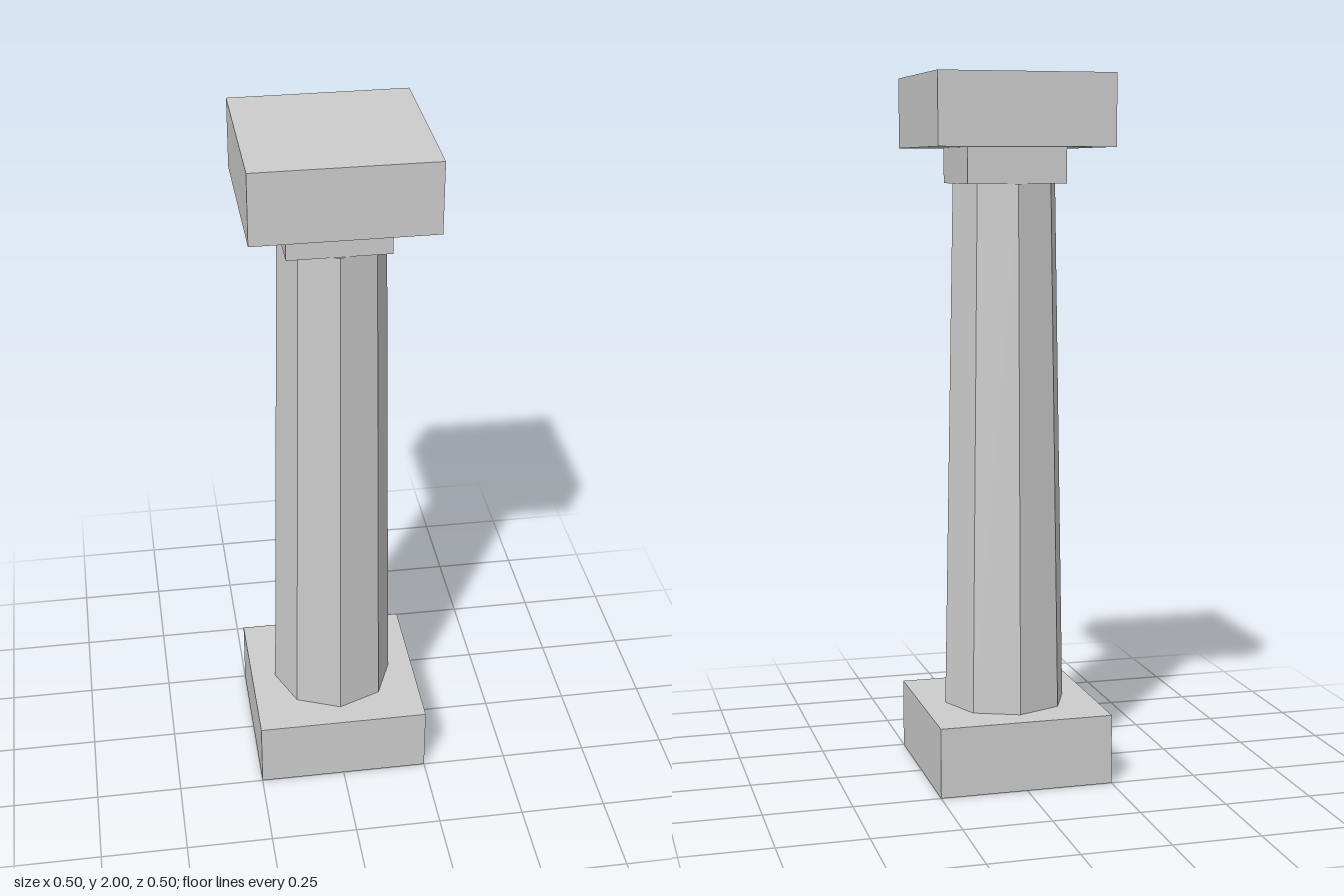
import * as THREE from 'three';

export function createModel() {
  const group = new THREE.Group();
  const stone = new THREE.MeshStandardMaterial({ color: 0xcccccc });
  stone.name = 'light grey stone';

  const add = (name, geometry, bottom, height) => {
    const mesh = new THREE.Mesh(geometry, stone);
    mesh.name = name;
    mesh.position.y = bottom + height / 2;
    group.add(mesh);
  };
  const slab = (name, width, bottom, height) =>
    add(name, new THREE.BoxGeometry(width, height, width), bottom, height);

  // Square blocks at the foot and head
  slab('plinth', 0.5, 0, 0.2);
  slab('neck', 0.284, 1.7, 0.1);
  slab('capital', 0.5, 1.8, 0.2);

  // Tapered eight-sided shaft with crisp facets, corners on the x and z axes
  const shaft = new THREE.CylinderGeometry(0.15, 0.178, 1.5, 8).toNonIndexed();
  shaft.computeVertexNormals();
  add('shaft', shaft, 0.2, 1.5);

  return group;
}
